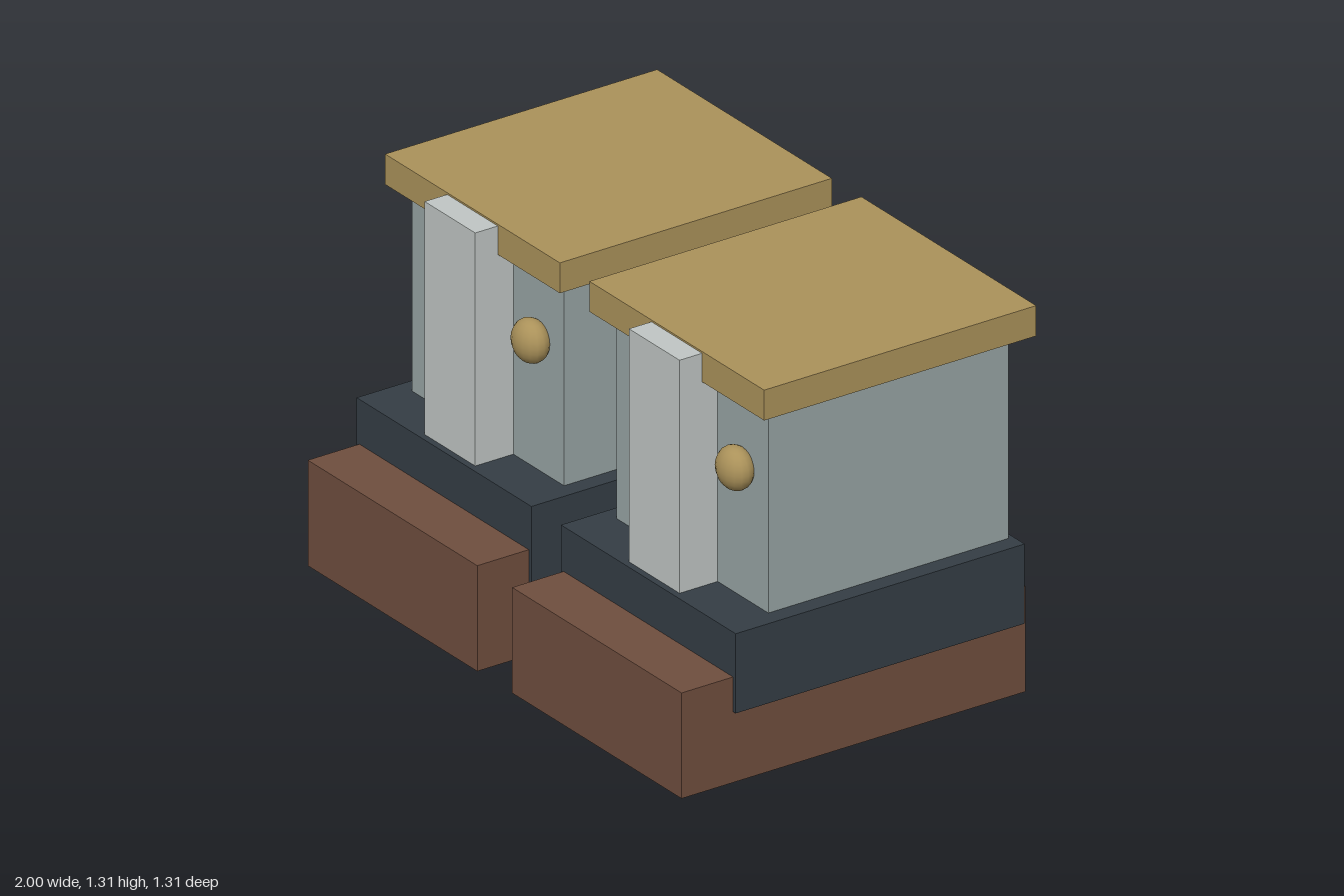
import * as THREE from 'three';

const mat = (color) => new THREE.MeshStandardMaterial({ color });
const brown = mat(0x6f4e3e), slate = mat(0x343d45), grey = mat(0x98a4a4);
const pale = mat(0xc0c6c4), gold = mat(0xab925a);

// Box centred on x, given its width and its y and z ranges
function slab(name, width, [y0, y1], [z0, z1], material) {
  const mesh = new THREE.Mesh(new THREE.BoxGeometry(width, y1 - y0, z1 - z0), material);
  mesh.position.set(0, (y0 + y1) / 2, (z0 + z1) / 2);
  mesh.name = name;
  return mesh;
}

function createBoot(name) {
  const boot = new THREE.Group();
  boot.name = name;
  boot.add(
    slab('sole', 0.894, [0, 0.358], [-0.626, 0.656], brown),
    slab('ankleBand', 0.922, [0.24, 0.51], [-0.613, 0.464], slate),
    slab('shaft', 0.802, [0.5, 1.21], [-0.595, 0.3], grey),
    slab('frontStrip', 0.267, [0.5, 1.3], [0.28, 0.442], pale),
    slab('topCuff', 0.922, [1.203, 1.306], [-0.656, 0.358], gold),
  );
  // Flattened round button beside the strip
  const button = new THREE.Mesh(new THREE.SphereGeometry(0.073, 16, 12), gold);
  button.scale.z = 0.75;
  button.position.set(0.267, 0.958, 0.33);
  button.name = 'button';
  boot.add(button);
  return boot;
}

export function createModel() {
  const model = new THREE.Group();
  model.name = 'boots';
  // Both boots are alike, with the button on the same side
  for (const [name, x] of [['rightBoot', -0.539], ['leftBoot', 0.539]]) {
    const boot = createBoot(name);
    boot.position.x = x;
    model.add(boot);
  }
  return model;
}
